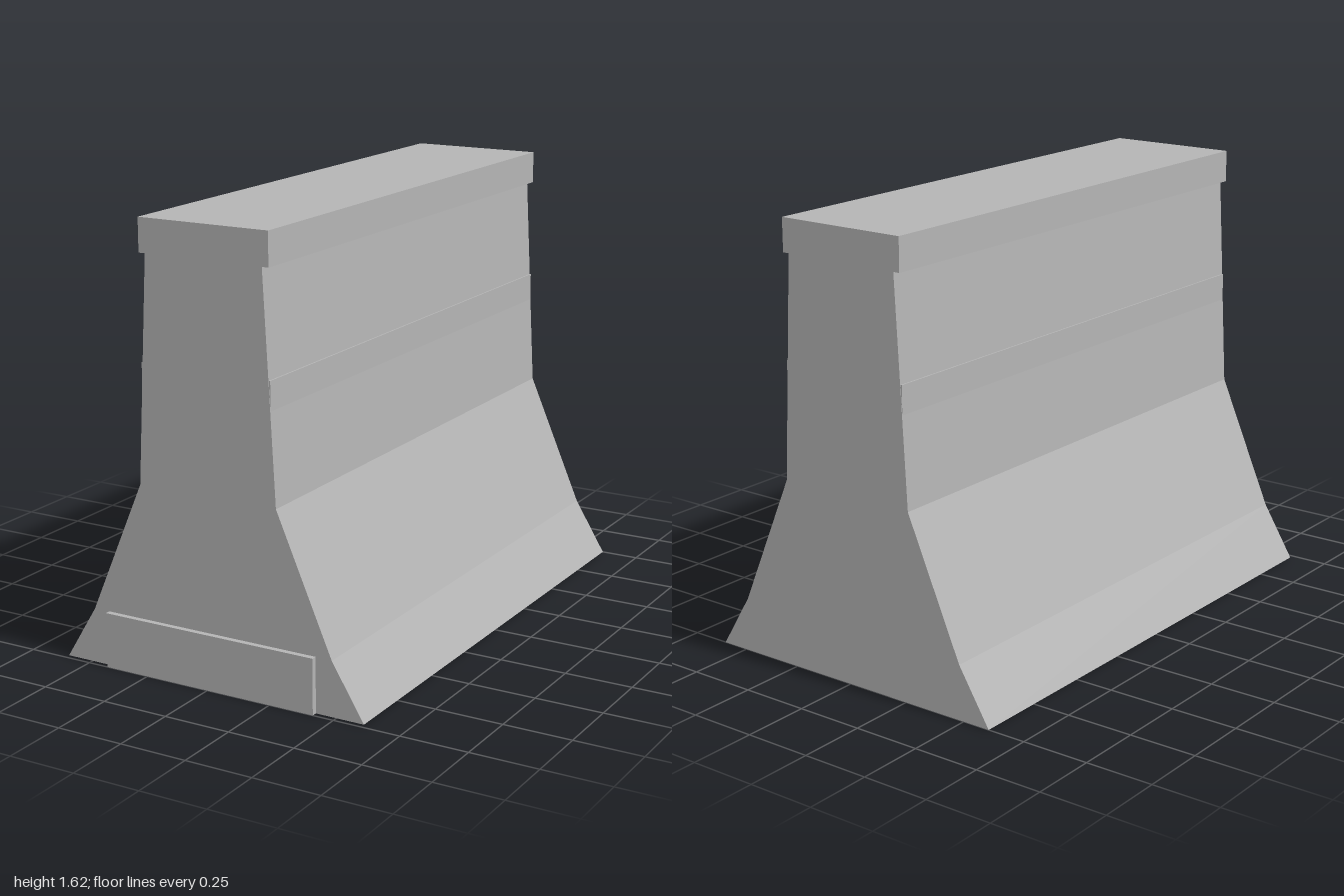
import * as THREE from 'three';

const BACK = -1, FRONT = 0.98, LENGTH = FRONT - BACK;

export function createModel() {
  const group = new THREE.Group();
  const concrete = new THREE.MeshStandardMaterial({ color: 0xb4b4b4 });
  concrete.name = 'concrete';

  const add = (name, geometry, x, y, z) => {
    const mesh = new THREE.Mesh(geometry, concrete);
    mesh.name = name;
    mesh.position.set(x, y, z);
    group.add(mesh);
  };

  // Barrier body with overhanging cap: half profile mirrored, extruded along z
  const half = [
    [0.605, 0], [0.483, 0.2], [0.272, 0.69], [0.228, 1.495],
    [0.253, 1.495], [0.253, 1.615],
  ];
  const mirrored = half.map(([x, y]) => [-x, y]).reverse();
  const profile = new THREE.Shape([...half, ...mirrored].map(([x, y]) => new THREE.Vector2(x, y)));
  add('barrierBody', new THREE.ExtrudeGeometry(profile, { depth: LENGTH, bevelEnabled: false }), 0, 0, BACK);

  // Shallow upright band that emerges from the sloping sides
  add('sideBand', new THREE.BoxGeometry(0.508, 0.12, LENGTH - 0.004), 0, 1.062, (FRONT + BACK) / 2);

  // Connecting plate at the foot of the front end
  add('endPlate', new THREE.BoxGeometry(0.842, 0.202, 0.04), 0, 0.101, 0.98);

  return group;
}
